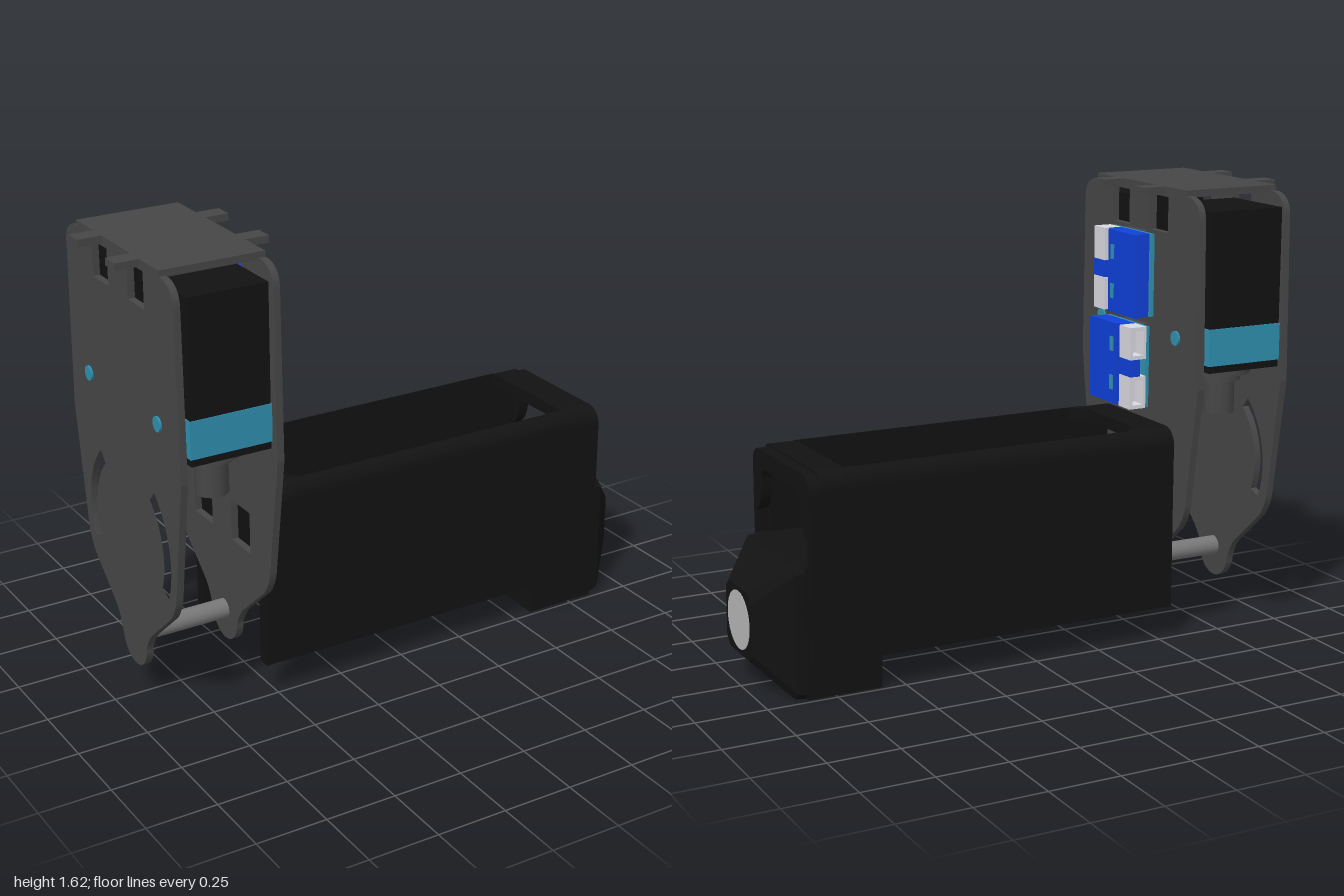
import * as THREE from 'three';
import { ConvexGeometry } from 'three/addons/geometries/ConvexGeometry.js';

const mat = (color, flat = false) => new THREE.MeshStandardMaterial({ color, flatShading: flat });
const M = {
  plate: mat(0x464646), black: mat(0x121212), blackFlat: mat(0x121212, true), teal: mat(0x2f8fae),
  blue: mat(0x1040d8), white: mat(0xd8d8e0), steel: mat(0x777777), lens: mat(0xb5b5b5),
};

export function createModel() {
  const root = new THREE.Group();
  const add = (parent, name, geo, m) => {
    const mesh = new THREE.Mesh(geo, m);
    mesh.name = name;
    parent.add(mesh);
    return mesh;
  };
  const group = (name) => {
    const g = new THREE.Group();
    g.name = name;
    root.add(g);
    return g;
  };
  // box given by its limits
  const box = (p, name, m, x0, x1, y0, y1, z0, z1) =>
    add(p, name, new THREE.BoxGeometry(x1 - x0, y1 - y0, z1 - z0), m)
      .position.set((x0 + x1) / 2, (y0 + y1) / 2, (z0 + z1) / 2);
  // cylinder along x or y
  const cyl = (p, name, m, r, len, x, y, z, alongX = false, seg = 32) => {
    const c = add(p, name, new THREE.CylinderGeometry(r, r, len, seg), m);
    c.position.set(x, y, z);
    if (alongX) c.rotation.z = Math.PI / 2;
  };
  // outline in (-z, y), swept along x
  const slab = (p, name, m, shape, x0, x1) => {
    const g = new THREE.ExtrudeGeometry(shape, { depth: x1 - x0, bevelEnabled: false, curveSegments: 10 });
    g.rotateY(Math.PI / 2);
    g.translate(x0, 0, 0);
    add(p, name, g, m);
  };
  const poly = (pts) => new THREE.Shape(pts.map(([a, b]) => new THREE.Vector2(a, b)));
  const rect = (u0, u1, v0, v1) => poly([[u0, v0], [u1, v0], [u1, v1], [u0, v1]]);

  // side plates: broad top, tapered shoulders, rounded tongue at the foot
  const plateShape = () => {
    const s = new THREE.Shape();
    s.moveTo(-0.32, 1.6);
    s.lineTo(0.32, 1.6);
    s.quadraticCurveTo(0.385, 1.59, 0.39, 1.53);
    s.lineTo(0.4, 0.94);
    s.lineTo(0.335, 0.51);
    s.quadraticCurveTo(0.325, 0.46, 0.29, 0.42);
    s.lineTo(0.14, 0.29);
    s.quadraticCurveTo(0.1, 0.25, 0.09, 0.19);
    s.absarc(0, 0.21, 0.09, 0, -Math.PI, true);
    s.quadraticCurveTo(-0.1, 0.25, -0.14, 0.29);
    s.lineTo(-0.29, 0.42);
    s.quadraticCurveTo(-0.325, 0.46, -0.335, 0.51);
    s.lineTo(-0.4, 0.94);
    s.lineTo(-0.39, 1.53);
    s.quadraticCurveTo(-0.385, 1.59, -0.32, 1.6);
    for (const k of [-1, 1]) s.holes.push(rect(k * 0.13 - 0.058, k * 0.13 + 0.058, 1.46, 1.585));
    return s;
  };
  const frame = group('frame');
  const outer = plateShape(), inner = plateShape();
  for (const k of [-1, 1]) {
    const arc = new THREE.Path(); // curved slot
    const mid = k > 0 ? 0 : Math.PI;
    const a0 = mid - k * 0.4, a1 = mid + k * 0.85;
    arc.absarc(0, 0.61, 0.305, a0, a1, k < 0);
    arc.absarc(0, 0.61, 0.255, a1, a0, k > 0);
    arc.closePath();
    outer.holes.push(arc);
    inner.holes.push(rect(k * 0.135 - 0.065, k * 0.135 + 0.065, 0.53, 0.68));
  }
  slab(frame, 'outerPlate', M.plate, outer, -0.915, -0.89);
  slab(frame, 'innerPlate', M.plate, inner, -0.57, -0.545);
  box(frame, 'topPlate', M.plate, -0.915, -0.545, 1.595, 1.62, -0.3, 0.3);
  for (const z of [-0.137, 0.137]) {
    box(frame, 'topTab', M.plate, -1, -0.915, 1.595, 1.62, z - 0.033, z + 0.033);
    box(frame, 'topTab', M.plate, -0.545, -0.46, 1.595, 1.62, z - 0.033, z + 0.033);
  }
  cyl(frame, 'footRod', M.steel, 0.035, 0.32, -0.73, 0.235, 0, true);

  // a pair of servo motors between the plates
  for (const k of [-1, 1]) {
    const servo = group('servo');
    const block = (name, m, y0, y1, grow = 0) =>
      box(servo, name, m, -0.875 - grow, -0.59 + grow, y0, y1, k * 0.25 - 0.148 - grow, k * 0.25 + 0.148 + grow);
    block('servoBody', M.black, 1.15, 1.555);
    block('servoBand', M.teal, 1.02, 1.15, 0.003);
    block('servoBase', M.black, 0.995, 1.02);
    cyl(servo, 'servoHorn', M.plate, 0.108, 0.03, -0.73, 0.98, k * 0.25);
    cyl(servo, 'servoCollar', M.plate, 0.075, 0.03, -0.73, 0.955, k * 0.25);
    cyl(servo, 'servoShaft', M.plate, 0.055, 0.14, -0.73, 0.89, k * 0.25, false, 12);
    for (const x of [-0.9, -0.56]) cyl(servo, 'servoPin', M.teal, 0.026, 0.045, x, 1.1, k * 0.255, true, 20);
  }

  // two circuit modules, the lower one turned half round
  for (const [y, k] of [[1.308, 1], [0.977, -1]]) {
    const mod = group('circuitModule');
    const part = (name, m, x0, x1, y0, y1, z0, z1) =>
      box(mod, name, m, x0, x1, y + y0, y + y1, Math.min(k * z0, k * z1), Math.max(k * z0, k * z1));
    part('mountRail', M.plate, -0.545, -0.515, -0.145, 0.145, -0.07, 0.07);
    part('board', M.teal, -0.515, -0.5, -0.146, 0.146, -0.15, 0.125);
    part('cover', M.blue, -0.455, -0.435, -0.147, 0.147, -0.155, 0.03);
    part('coverCore', M.blue, -0.5, -0.455, -0.147, 0.147, -0.14, 0.03);
    part('coverStep', M.blue, -0.5, -0.452, -0.147, 0.147, 0.03, 0.055);
    part('middlePlug', M.blue, -0.475, -0.435, -0.03, 0.03, 0.055, 0.132);
    for (const s of [-1, 1]) {
      part('coverWindow', M.teal, -0.44, -0.432, s * 0.07 - 0.026, s * 0.07 + 0.026, -0.01, 0.012);
      // socket shell, open toward the board edge
      const c = s * 0.089, h = 0.058;
      part('socketBack', M.white, -0.5, -0.435, c - h, c + h, 0.055, 0.075);
      for (const t of [-1, 1]) {
        part('socketEnd', M.white, -0.5, -0.435, c + t * (h - 0.007) - 0.007, c + t * (h - 0.007) + 0.007, 0.075, 0.13);
      }
      part('socketFace', M.white, -0.447, -0.435, c - h, c + h, 0.075, 0.13);
      part('socketFloor', M.white, -0.5, -0.49, c - h, c + h, 0.075, 0.13);
    }
  }

  // hollow housing: two walls, bridged at each end
  const housing = group('housing');
  const arch = new THREE.Shape();
  arch.moveTo(-0.255, 0.12);
  arch.lineTo(-0.21, 0.12);
  arch.lineTo(-0.21, 0.73);
  arch.lineTo(0.21, 0.73);
  arch.lineTo(0.21, 0.12);
  arch.lineTo(0.255, 0.12);
  arch.lineTo(0.255, 0.715);
  arch.absarc(0.195, 0.715, 0.06, 0, Math.PI / 2, false);
  arch.absarc(-0.195, 0.715, 0.06, Math.PI / 2, Math.PI, false);
  slab(housing, 'innerBridge', M.black, arch, -0.545, -0.43);
  slab(housing, 'outerBridge', M.black, arch, 0.7, 0.8);
  for (const k of [-1, 1]) {
    const wall = new THREE.Shape();
    wall.moveTo(k * 0.21, 0.12);
    wall.lineTo(k * 0.255, 0.12);
    wall.lineTo(k * 0.255, 0.715);
    wall.quadraticCurveTo(k * 0.255, 0.765, k * 0.21, 0.775);
    slab(housing, 'sideWall', M.black, wall, -0.43, 0.7);
    // gusset in the corner of the top opening
    const gusset = new THREE.ExtrudeGeometry(
      poly([[-0.43, k * 0.21], [-0.38, k * 0.21], [-0.43, k * 0.16]]), { depth: 0.045, bevelEnabled: false });
    gusset.rotateX(Math.PI / 2);
    gusset.translate(0, 0.775, 0);
    add(housing, 'cornerGusset', gusset, M.black);
  }
  // end panel with shaped opening
  const end = new THREE.Shape();
  end.moveTo(-0.255, 0.12);
  end.lineTo(0.255, 0.12);
  end.lineTo(0.255, 0.705);
  end.absarc(0.195, 0.705, 0.06, 0, Math.PI / 2, false);
  end.absarc(-0.195, 0.705, 0.06, Math.PI / 2, Math.PI, false);
  const open = new THREE.Path();
  open.moveTo(-0.23, 0.46);
  open.lineTo(0.23, 0.46);
  open.lineTo(0.23, 0.54);
  open.quadraticCurveTo(0.18, 0.57, 0.175, 0.65);
  open.quadraticCurveTo(0.17, 0.7, 0.13, 0.7);
  open.lineTo(-0.13, 0.7);
  open.quadraticCurveTo(-0.17, 0.7, -0.175, 0.65);
  open.quadraticCurveTo(-0.18, 0.57, -0.23, 0.54);
  end.holes.push(open);
  slab(housing, 'endPanel', M.black, end, 0.8, 0.84);

  // nose block with faceted tip and light disc
  const nose = group('nose');
  box(nose, 'noseBase', M.black, 0.58, 0.85, 0, 0.46, -0.232, 0.232);
  const pts = [];
  const ring = (x, hz, y0, y1, c) => {
    for (const s of [-1, 1]) {
      for (const [y, t] of [[y0, 1], [y1, -1]]) {
        pts.push(new THREE.Vector3(x, y + t * c, s * hz), new THREE.Vector3(x, y, s * (hz - c)));
      }
    }
  };
  ring(0.84, 0.232, 0, 0.46, 0.015);
  ring(0.885, 0.23, 0, 0.46, 0.025);
  ring(1, 0.12, 0.115, 0.35, 0.03);
  add(nose, 'noseTip', new ConvexGeometry(pts), M.blackFlat);
  cyl(nose, 'noseDisc', M.lens, 0.102, 0.01, 0.997, 0.235, 0, true, 48);
  return root;
}
